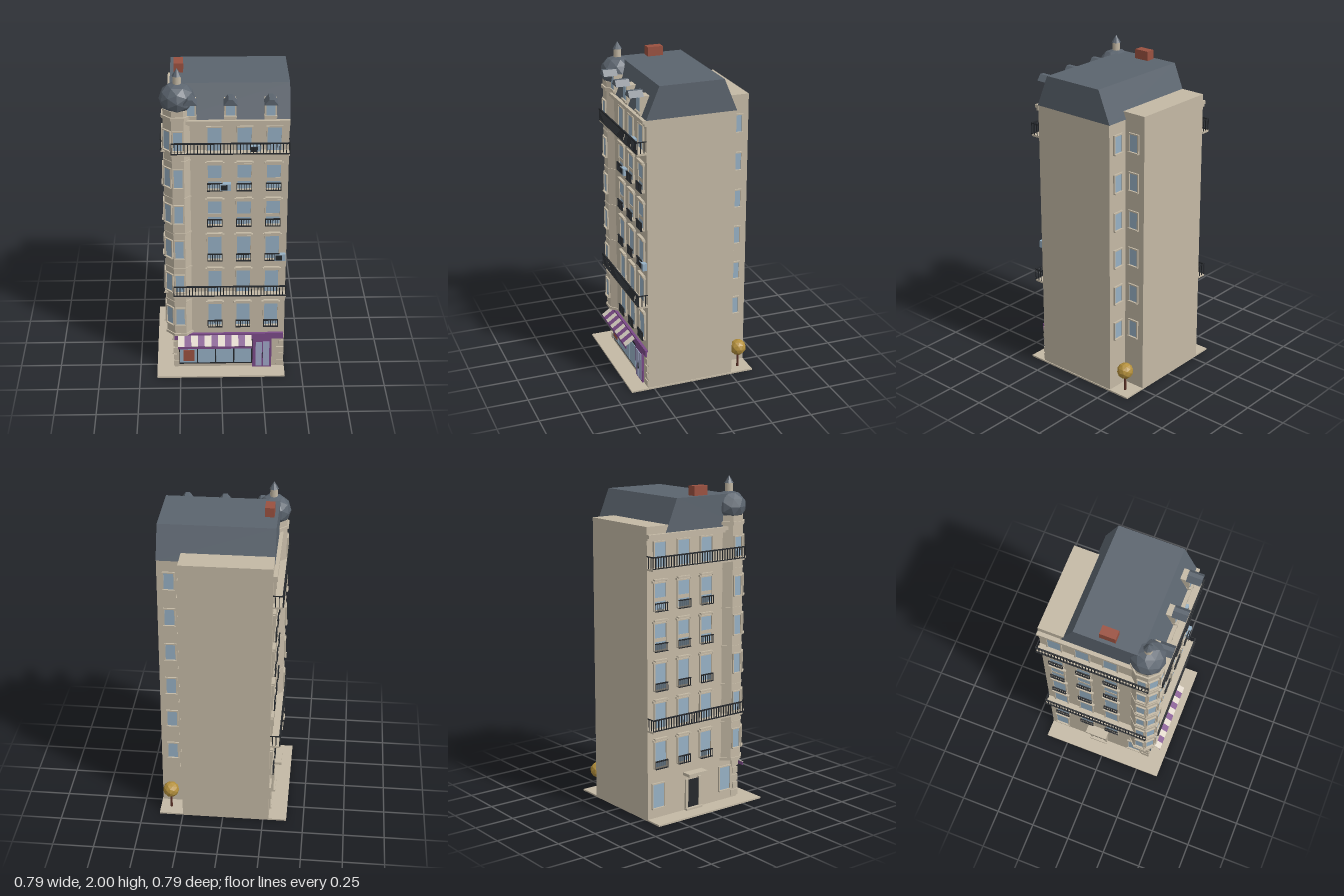
import * as THREE from 'three';

const mat = (name, color, flat = false) => {
  const m = new THREE.MeshStandardMaterial({ color, flatShading: flat });
  m.name = name;
  return m;
};

export function createModel() {
  const stone = mat('stone', 0xc4b9a5), slate = mat('slate', 0x5b646e, true), glass = mat('glass', 0x96b0c4);
  const iron = mat('iron', 0x25282c), purple = mat('purple', 0x7b4a88), cream = mat('cream', 0xd9d0c3);
  const brick = mat('brick', 0x9a5140), foliage = mat('foliage', 0xb4903c, true);
  const bark = mat('bark', 0x5c3228), lilac = mat('lilacGlass', 0xa0a8c8);

  const root = new THREE.Group();
  root.name = 'cornerBuilding';

  const add = (parent, name, geo, material, x = 0, y = 0, z = 0) => {
    const m = new THREE.Mesh(geo, material);
    m.name = name;
    m.position.set(x, y, z);
    parent.add(m);
    return m;
  };
  // Box given by its minimum and maximum on each axis
  const box = (parent, name, material, x0, x1, y0, y1, z0, z1) =>
    add(parent, name, new THREE.BoxGeometry(x1 - x0, y1 - y0, z1 - z0), material,
      (x0 + x1) / 2, (y0 + y1) / 2, (z0 + z1) / 2);
  // Group whose local z points out of a wall
  const wallGroup = (name, x, z, angle) => {
    const g = new THREE.Group();
    g.name = name;
    g.position.set(x, 0, z);
    g.rotation.y = angle;
    root.add(g);
    return g;
  };

  const FRONT = 0.288, LEFT = -0.285, floorY = i => 0.325 + i * 0.236;

  // Plot, main block and rear wing
  box(root, 'pavement', stone, -0.395, 0.395, 0, 0.01, -0.395, 0.395);
  box(root, 'mainBlock', stone, LEFT, 0.39, 0.01, 1.706, -0.257, FRONT);
  box(root, 'rearWing', stone, LEFT, 0.25, 0.01, 1.75, -0.395, -0.2);

  // Mansard roof with upright gable ends
  const roofShape = new THREE.Shape([[-0.291, 1.705], [0.26, 1.705], [0.18, 1.897], [-0.211, 1.897]]
    .map(p => new THREE.Vector2(...p)));
  const roof = add(root, 'mansardRoof',
    new THREE.ExtrudeGeometry(roofShape, { depth: 0.677, bevelEnabled: false }), slate, LEFT - 0.001);
  roof.rotation.y = Math.PI / 2;
  box(root, 'chimney', brick, -0.265, -0.21, 1.88, 1.953, -0.035, 0.06);

  // Dormers
  const gable = new THREE.Shape([[-0.039, 1.822], [0.039, 1.822], [0.012, 1.856], [-0.012, 1.856]]
    .map(p => new THREE.Vector2(...p)));
  for (const x of [-0.172, 0.053, 0.28]) {
    box(root, 'dormerBody', stone, x - 0.034, x + 0.034, 1.708, 1.824, 0.238, 0.298);
    box(root, 'dormerGlass', glass, x - 0.025, x + 0.025, 1.735, 1.815, 0.296, 0.301);
    box(root, 'dormerSill', stone, x - 0.036, x + 0.036, 1.722, 1.734, 0.28, 0.308);
    add(root, 'dormerRoof', new THREE.ExtrudeGeometry(gable, { depth: 0.085, bevelEnabled: false }), slate, x, 0, 0.276);
  }

  // Window with a raised surround
  const windowUnit = (g, u, y, w, h, rim = 0.008) => {
    box(g, 'windowGlass', glass, u - w / 2, u + w / 2, y, y + h, 0, 0.004);
    for (const s of [-1, 1]) {
      const c = u + s * (w + rim) / 2;
      box(g, 'windowJamb', stone, c - rim / 2, c + rim / 2, y, y + h, 0, 0.01);
    }
    box(g, 'windowHead', stone, u - w / 2 - rim, u + w / 2 + rim, y + h, y + h + rim, 0, 0.01);
    box(g, 'windowSill', stone, u - w / 2 - rim, u + w / 2 + rim, y - rim, y, 0, 0.016);
  };

  // Iron railing made of two rails and balusters
  const railing = (g, u0, u1, y0, y1, w, step, t) => {
    box(g, 'topRail', iron, u0, u1, y1 - t * 1.6, y1, w - t, w + t);
    box(g, 'bottomRail', iron, u0, u1, y0, y0 + t, w - t, w + t);
    const n = Math.round((u1 - u0) / step);
    for (let i = 0; i <= n; i++) {
      const u = u0 + t / 2 + (u1 - u0 - t) * i / n;
      box(g, 'baluster', iron, u - t / 2, u + t / 2, y0, y1, w - t / 2, w + t / 2);
    }
  };

  // Street facade: three windows per floor, two long balconies and a cornice
  const facade = (g, columns, u0, u1, outerEnd) => {
    for (let i = 0; i < 6; i++) {
      const y = floorY(i);
      for (const u of columns) {
        windowUnit(g, u, y, 0.08, 0.153);
        if (i === 3 || i === 4) box(g, 'transom', stone, u - 0.04, u + 0.04, y + 0.048, y + 0.07, 0, 0.006);
        if (i < 5) {
          box(g, 'lintel', stone, u - 0.046, u + 0.046, y + 0.166, y + 0.178, 0, 0.018);
          for (const s of [-1, 1])
            box(g, 'lintelEnd', stone, u + s * 0.05 - 0.006, u + s * 0.05 + 0.006, y + 0.158, y + 0.17, 0, 0.014);
        }
        if (i !== 1 && i !== 5) railing(g, u - 0.045, u + 0.045, y - 0.01, y + 0.042, 0.02, 0.015, 0.004);
      }
    }
    for (const y of [0.552, 1.503]) {
      box(g, 'balconySlab', stone, u0, u1, y, y + 0.012, 0, 0.058);
      railing(g, u0, u1, y + 0.012, y + 0.083, 0.058, 0.019, 0.0045);
      box(g, 'balconyEndRail', iron, outerEnd - 0.002, outerEnd + 0.002, y + 0.077, y + 0.083, 0, 0.058);
      for (const w of [0.015, 0.036])
        box(g, 'endBaluster', iron, outerEnd - 0.002, outerEnd + 0.002, y + 0.012, y + 0.083, w - 0.002, w + 0.002);
    }
    box(g, 'cornice', stone, u0, u1, 1.686, 1.706, 0, 0.024);
    box(g, 'corniceMoulding', stone, u0, u1, 1.672, 1.686, 0, 0.012);
  };
  const front = wallGroup('frontFacade', 0, FRONT, 0);
  facade(front, [-0.035, 0.135, 0.305], -0.285, 0.392, 0.39);
  const left = wallGroup('leftFacade', LEFT, 0, -Math.PI / 2);
  facade(left, [-0.305, -0.135, 0.035], -0.397, 0.285, -0.394);

  // Air conditioners
  for (const [x, y] of [[0.197, 1.528], [0.027, 1.286], [0.352, 0.81]]) {
    box(front, 'airConditioner', glass, x - 0.032, x + 0.032, y - 0.022, y + 0.022, 0, 0.027);
    box(front, 'airConditionerGrille', iron, x - 0.026, x + 0.012, y - 0.016, y + 0.016, 0.025, 0.03);
  }

  // Octagonal corner tower
  const TX = -0.245, TZ = 0.24, A = 0.083;
  const octagon = (name, r, y0, y1, material) => {
    const g = new THREE.CylinderGeometry(r, r, y1 - y0, 8).toNonIndexed();
    g.computeVertexNormals();
    add(root, name, g, material, TX, (y0 + y1) / 2, TZ).rotation.y = Math.PI / 8;
  };
  octagon('towerBody', 0.09, 0.272, 1.77, stone);
  octagon('towerBase', 0.097, 0.268, 0.284, stone);
  for (let i = 1; i < 6; i++) octagon('towerBand', 0.094, 0.27 + i * 0.236, 0.28 + i * 0.236, stone);
  octagon('towerCornice', 0.1, 1.715, 1.735, stone);
  for (let k = 0; k < 3; k++) {
    const a = -k * Math.PI / 4;
    const g = wallGroup('towerWindows', TX + Math.sin(a) * A, TZ + Math.cos(a) * A, a);
    for (let i = 0; i < 6; i++) windowUnit(g, 0, floorY(i) + 0.025, 0.05, 0.115, 0.006);
  }
  add(root, 'towerDome', new THREE.IcosahedronGeometry(0.104, 1), slate, TX, 1.82, TZ).scale.y = 0.9;
  add(root, 'lantern', new THREE.CylinderGeometry(0.023, 0.023, 0.06, 8), stone, TX, 1.928, TZ);
  add(root, 'lanternRoof', new THREE.ConeGeometry(0.028, 0.046, 8), slate, TX, 1.977, TZ);

  // Shop front
  box(front, 'shopFascia', purple, -0.285, 0.385, 0.222, 0.263, 0, 0.016);
  box(front, 'shopFrame', iron, -0.258, 0.197, 0.033, 0.222, 0, 0.006);
  for (let i = 0; i < 4; i++) {
    const u = -0.253 + i * 0.1125;
    box(front, 'shopPane', glass, u, u + 0.105, 0.045, 0.19, 0.004, 0.01);
  }
  box(front, 'poster', brick, -0.232, -0.163, 0.06, 0.14, 0.008, 0.013);
  box(front, 'shopDoorFrame', purple, 0.197, 0.315, 0.01, 0.222, 0, 0.012);
  for (const u of [0.236, 0.282]) box(front, 'shopDoorPane', lilac, u - 0.019, u + 0.019, 0.02, 0.197, 0.01, 0.016);
  box(front, 'shopDoorHandle', iron, 0.257, 0.261, 0.08, 0.12, 0.014, 0.021);

  // Striped awning with a valance
  const stripe = 0.455 / 11, slope = Math.atan2(0.043, 0.062);
  for (let i = 0; i < 11; i++) {
    const m = add(front, 'awningStripe', new THREE.BoxGeometry(stripe, 0.005, 0.078), i % 2 ? purple : cream,
      -0.265 + (i + 0.5) * stripe, 0.231, 0.043);
    m.rotation.x = slope;
  }
  box(front, 'awningValance', purple, -0.265, 0.19, 0.19, 0.211, 0.068, 0.073);

  // Side entrance and ground floor windows on the left
  box(left, 'sideDoor', iron, -0.105, -0.015, 0.01, 0.195, 0, 0.006);
  for (const u of [-0.11, -0.01]) box(left, 'sideDoorJamb', stone, u - 0.008, u + 0.008, 0.01, 0.205, 0, 0.014);
  box(left, 'sideDoorCanopy', stone, -0.13, 0.01, 0.232, 0.25, 0, 0.06);
  box(left, 'sideDoorStep', stone, -0.12, 0, 0.01, 0.022, 0, 0.025);
  for (const u of [-0.32, 0.19]) windowUnit(left, u, 0.075, 0.08, 0.145);

  // Corner quoins
  for (let i = 0; i < 5; i++) {
    const y = 0.02 + i * 0.048, w = i % 2 ? 0.03 : 0.045;
    box(front, 'quoin', stone, 0.39 - w, 0.39, y, y + 0.038, 0, 0.007);
    box(root, 'cornerQuoin', stone, LEFT - 0.007, LEFT + w - 0.018, y, y + 0.038, FRONT - w, FRONT + 0.007);
  }

  // Courtyard windows
  const yardSide = wallGroup('courtyardSideWindows', 0.25, -0.322, Math.PI / 2);
  const yardBack = wallGroup('courtyardBackWindows', 0.32, -0.257, Math.PI);
  for (const g of [yardSide, yardBack])
    for (let i = 0; i < 6; i++) windowUnit(g, 0, floorY(i) + 0.02, 0.058, 0.103);

  // Courtyard tree
  add(root, 'treeTrunk', new THREE.CylinderGeometry(0.006, 0.008, 0.11, 8), bark, 0.33, 0.062, -0.325);
  add(root, 'treeCrown', new THREE.IcosahedronGeometry(0.05, 1), foliage, 0.33, 0.142, -0.325);

  return root;
}
